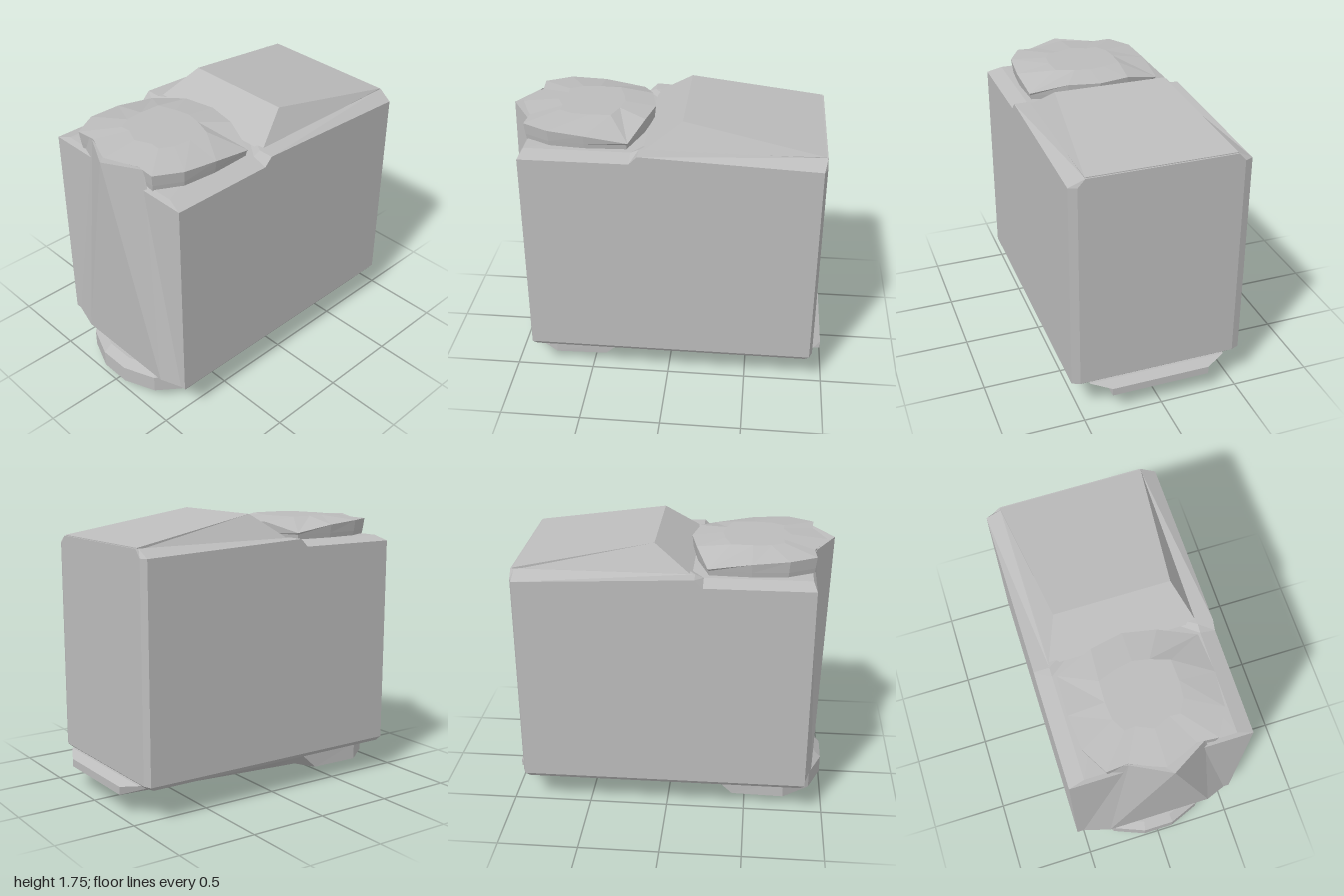
import * as THREE from 'three';

// Skin a stack of equal-length rings (listed from bottom to top) and cap both ends.
function loft(rings) {
  const pos = [];
  const tri = (...points) => points.forEach((p) => pos.push(...p));
  const centre = (ring) => [0, 1, 2].map((k) => ring.reduce((s, p) => s + p[k], 0) / ring.length);
  const top = rings[rings.length - 1];
  const n = top.length;
  for (let i = 0; i < n; i++) {
    const j = (i + 1) % n;
    for (let r = 0; r < rings.length - 1; r++) {
      const [a, b, c, d] = [rings[r][i], rings[r][j], rings[r + 1][j], rings[r + 1][i]];
      tri(a, b, c);
      tri(a, c, d);
    }
    tri(centre(rings[0]), rings[0][j], rings[0][i]);
    tri(centre(top), top[i], top[j]);
  }
  const geometry = new THREE.BufferGeometry();
  geometry.setAttribute('position', new THREE.Float32BufferAttribute(pos, 3));
  geometry.computeVertexNormals();
  return geometry;
}

// Complete an [x, z] half outline (back side, from +x to -x) with its front mirror image.
const mirror = (half) => [...half, ...half.filter((p) => p[1] !== 0).reverse().map(([x, z]) => [x, -z])];

// Place an [x, z] outline at a height (a number or a rule of x), scaled about x = cx.
const ring = (outline, height, scale = 1, cx = 0) => outline.map(([x, z]) => [
  cx + (x - cx) * scale,
  typeof height === 'number' ? height : height(x),
  z * scale,
]);

export function createModel() {
  const model = new THREE.Group();
  const grey = new THREE.MeshStandardMaterial({ color: 0xbcbcbc });
  grey.name = 'plain grey';
  grey.flatShading = true;
  const add = (name, rings) => {
    const mesh = new THREE.Mesh(loft(rings), grey);
    mesh.name = name;
    model.add(mesh);
  };

  // Main block: bevelled foot, upright walls, stepped rim that falls towards +x, inset top
  const block = mirror([[0.93, -0.5], [0.91, -0.55], [-0.17, -0.55], [-0.22, -0.55], [-0.88, -0.55]]);
  const rimHeight = (x) => (x < -0.2 ? 1.55 : 1.6 - (x + 0.17) * 0.045);
  const shelf = block.map(([x, z]) => [Math.max(x, -0.86), Math.sign(z) * 0.455]);
  add('body', [
    ring(block, 0.2, 0.97),
    ring(block, 0.225),
    ring(block, rimHeight),
    ring(shelf, (x) => (x < -0.2 ? 1.58 : 1.6)),
  ]);

  // Folded end wall that leans out to a point at the top
  add('endFin', [
    [[-0.87, 0.22, -0.54], [-0.93, 0.22, -0.33], [-0.93, 0.22, 0.38], [-0.87, 0.22, 0.54]],
    [[-0.86, 1.66, -0.3], [-0.88, 1.68, -0.2], [-1, 1.685, 0.03], [-0.87, 1.68, 0.25]],
  ]);

  // Sloping raised panel on top
  add('topWedge', [
    ring(mirror([[0.92, -0.455], [-0.15, -0.455]]), 1.59),
    [[0.92, 1.605, 0.455], [0.92, 1.605, -0.455], [0.08, 1.75, -0.35], [0.08, 1.75, 0.36]]
      .slice(1).concat([[0.92, 1.605, 0.455]]),
  ]);

  // Rounded pad on top, its rim dipping towards the wedge
  const pad = mirror([[-0.12, 0], [-0.16, -0.2], [-0.24, -0.43], [-0.5, -0.44], [-0.72, -0.42],
    [-0.88, -0.33], [-0.87, -0.2], [-0.96, 0]]);
  const padRim = ring(pad, 1.68).map(([x, y, z]) => [x, y - Math.max(0, Math.abs(z) - 0.2) * Math.max(0, x + 0.6) * 0.7, z]);
  add('topPad', [ring(pad, 1.56, 0.96, -0.5), ring(pad, 1.61, 0.98, -0.5), padRim, ring(pad, 1.705, 0.5, -0.5)]);

  // Shallow tongue under the block, reaching out at one end
  const tongue = mirror([[0.99, -0.315], [-0.15, -0.315], [-0.4, -0.315]]);
  const tongueRoot = mirror([[0.93, -0.44], [-0.15, -0.44], [-0.4, -0.44]]);
  const tongueLip = mirror([[0.99, -0.315], [-0.15, -0.42], [-0.4, -0.42]]);
  add('underTongue', [
    ring(tongue, (x) => 0.086 + x * 0.045),
    ring(tongueLip, 0.18),
    ring(tongueRoot, 0.21),
  ]);

  // Blunt foot under the pad end
  const foot = mirror([[-0.3, -0.2], [-0.42, -0.42], [-0.75, -0.43], [-0.92, -0.3], [-1, -0.1]]);
  const footTop = foot.map(([x, z]) => [x > -0.5 ? x + 0.12 : x, z]);
  add('underFoot', [
    ring(foot, 0, 0.2, -0.57),
    ring(foot, 0.06),
    ring(footTop, 0.17),
    ring(footTop, 0.22, 0.9, -0.5),
  ]);

  return model;
}
